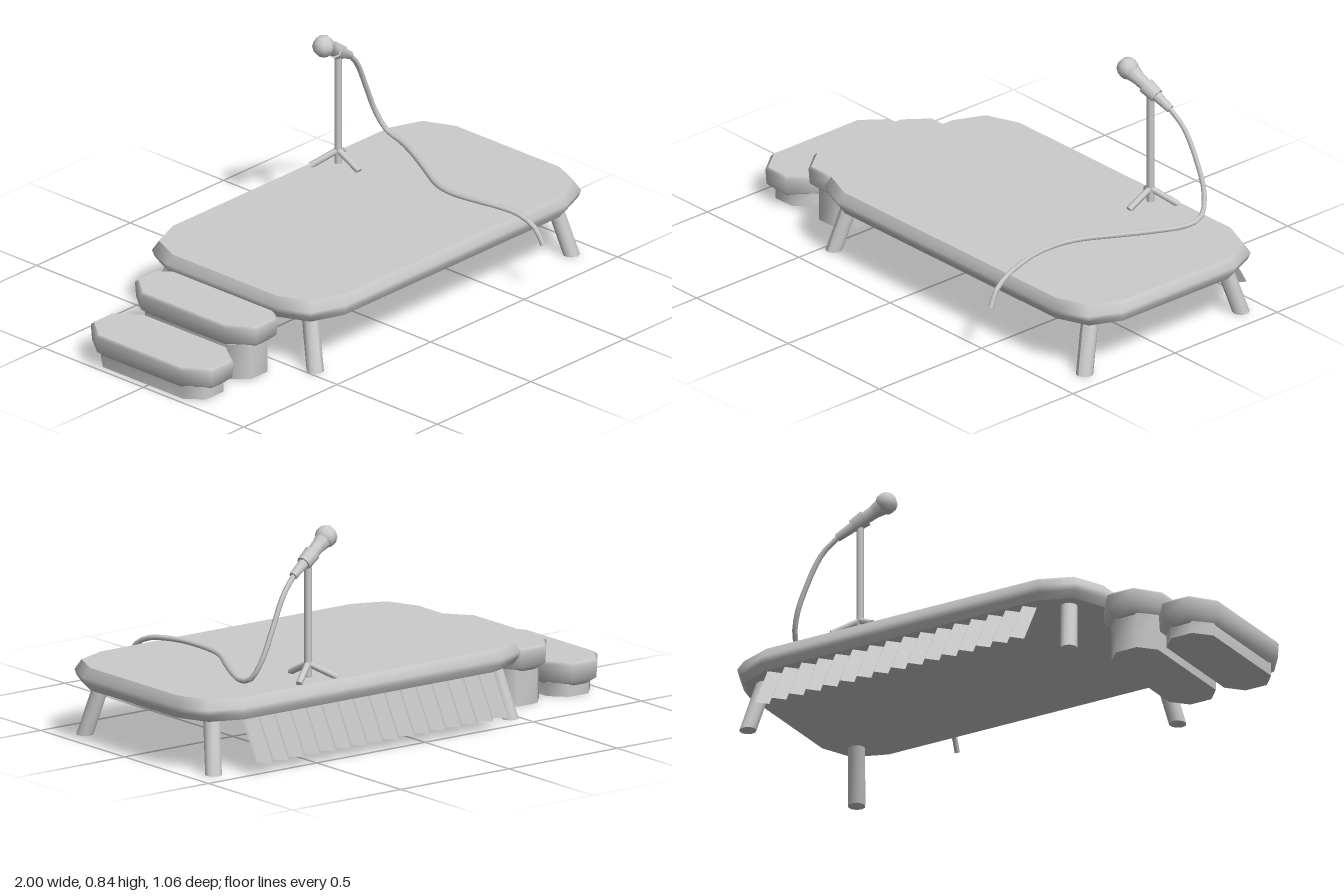
import * as THREE from 'three';

const mat = new THREE.MeshStandardMaterial({ color: 0xcccccc, side: THREE.DoubleSide });
const V = (x, y, z) => new THREE.Vector3(x, y, z);
const CZ = -0.025; // depth centre of the stage and steps

function part(parent, name, geometry) {
  const mesh = new THREE.Mesh(geometry, mat);
  mesh.name = name;
  parent.add(mesh);
  return mesh;
}

// Rectangle with corners cut in n segments, counter-clockwise in (x, z)
function outline(hx, hz, cx, cz, n) {
  const pts = [];
  for (let q = 0; q < 4; q++) {
    const sx = q === 0 || q === 3 ? 1 : -1, sz = q < 2 ? 1 : -1;
    for (let i = 0; i <= n; i++) {
      const a = (q + i / n) * Math.PI / 2;
      pts.push([sx * (hx - cx) + cx * Math.cos(a), sz * (hz - cz) + cz * Math.sin(a)]);
    }
  }
  return pts;
}

// Smooth-sided slab through layers of [y, inset], with flat caps
function slab(hx, hz, cx, cz, n, layers) {
  const pos = [], idx = [];
  const rings = layers.map(([y, d]) => outline(hx - d, hz - d, cx, cz, n).map(([x, z]) => [x, y, z]));
  const m = rings[0].length;
  rings.forEach(r => r.forEach(p => pos.push(...p)));
  for (let k = 0; k < rings.length - 1; k++) {
    for (let i = 0; i < m; i++) {
      const a = k * m + i, b = k * m + (i + 1) % m;
      idx.push(a, a + m, b, b, a + m, b + m);
    }
  }
  [rings[0], rings[rings.length - 1]].forEach((r, top) => {
    const s = pos.length / 3;
    r.forEach(p => pos.push(...p));
    for (let i = 1; i < m - 1; i++) idx.push(s, s + i + (top ? 1 : 0), s + i + (top ? 0 : 1));
  });
  const g = new THREE.BufferGeometry();
  g.setAttribute('position', new THREE.Float32BufferAttribute(pos, 3));
  g.setIndex(idx);
  g.computeVertexNormals();
  return g;
}

// Round bar between two points
function bar(parent, name, a, b, ra, rb = ra, sides = 8) {
  const mesh = part(parent, name, new THREE.CylinderGeometry(rb, ra, a.distanceTo(b), sides));
  mesh.position.copy(a).lerp(b, 0.5);
  mesh.quaternion.setFromUnitVectors(V(0, 1, 0), b.clone().sub(a).normalize());
  return mesh;
}

export function createModel() {
  const model = new THREE.Group();
  model.name = 'stage';

  // Stage platform
  part(model, 'platform', slab(0.775, 0.447, 0.18, 0.17, 2, [[0.2, 0.02], [0.225, 0.006], [0.248, 0], [0.285, 0.018]]))
    .position.set(0.22, 0, CZ);

  // Splayed legs, sheared so that the feet stay level
  for (const sx of [-1, 1]) {
    for (const sz of [-1, 1]) {
      const g = new THREE.CylinderGeometry(0.032, 0.032, 0.21, 10);
      g.translate(0, 0.105, 0);
      g.applyMatrix4(new THREE.Matrix4().set(1, -sx * 0.175, 0, 0, 0, 1, 0, 0, 0, -sz * 0.29, 1, 0, 0, 0, 0, 1));
      g.computeVertexNormals();
      part(model, 'stageLeg', g).position.set(0.22 + sx * 0.685, 0, CZ + sz * 0.383);
    }
  }

  // Two steps, each a tread on a block
  [[-0.873, 0.135], [-0.637, 0.225]].forEach(([x, top]) => {
    const step = new THREE.Group();
    step.name = 'step';
    step.position.set(x, 0, CZ);
    model.add(step);
    part(step, 'stepBlock', slab(0.1, 0.263, 0.055, 0.06, 1, [[0, 0], [top - 0.085, 0]]));
    part(step, 'stepTread', slab(0.127, 0.303, 0.07, 0.09, 1,
      [[top - 0.092, 0.03], [top - 0.068, 0.003], [top - 0.01, 0], [top, 0.008]]));
  });

  // Pleated cloth sloping out behind the stage
  const pleats = 16, skirt = new THREE.PlaneGeometry(1.16, 1, pleats * 2, 1);
  const p = skirt.attributes.position;
  for (let i = 0; i < p.count; i++) {
    const column = i % (pleats * 2 + 1), low = p.getY(i) < 0;
    p.setXYZ(i, p.getX(i) + 0.22, low ? 0.04 : 0.205, (low ? -0.49 : -0.398) - (column % 2 ? 0 : 0.041));
  }
  const cloth = skirt.toNonIndexed();
  cloth.computeVertexNormals();
  part(model, 'pleatedSkirt', cloth);

  // Microphone stand
  const stand = new THREE.Group();
  stand.name = 'microphoneStand';
  model.add(stand);
  const hub = V(0.445, 0.342, -0.377);
  bar(stand, 'standPole', V(0.445, 0.29, -0.377), V(0.445, 0.735, -0.377), 0.014);
  [[0.445, -0.272], [0.358, -0.435], [0.532, -0.435]].forEach(([x, z]) =>
    bar(stand, 'standFoot', hub, V(x, 0.289, z), 0.012));

  // Microphone, tilted: distances run along its axis from head to tail
  const head = V(0.345, 0.8, -0.356), tail = V(0.53, 0.688, -0.398);
  const at = t => head.clone().lerp(tail, t);
  const mic = new THREE.Group();
  mic.name = 'microphone';
  model.add(mic);
  part(mic, 'microphoneHead', new THREE.SphereGeometry(0.042, 8, 6)).position.copy(head);
  bar(mic, 'microphoneCollar', at(0.12), at(0.26), 0.033, 0.026);
  bar(mic, 'microphoneHandle', at(0.2), at(1), 0.027, 0.016);
  bar(mic, 'microphoneClip', at(0.42), at(0.68), 0.032, 0.028);

  // Cable falling from the microphone and over the front edge
  const path = [
    [0.52, 0.695, -0.396], [0.585, 0.63, -0.413], [0.65, 0.5, -0.424], [0.69, 0.4, -0.42], [0.715, 0.325, -0.385],
    [0.712, 0.308, -0.32], [0.67, 0.305, -0.22], [0.6, 0.304, -0.09], [0.53, 0.304, 0.04], [0.511, 0.306, 0.13],
    [0.521, 0.31, 0.26], [0.54, 0.308, 0.34], [0.558, 0.297, 0.42], [0.57, 0.26, 0.49], [0.576, 0.202, 0.523],
  ].map(c => V(...c));
  part(model, 'cable', new THREE.TubeGeometry(new THREE.CatmullRomCurve3(path), 40, 0.01, 6));

  return model;
}
